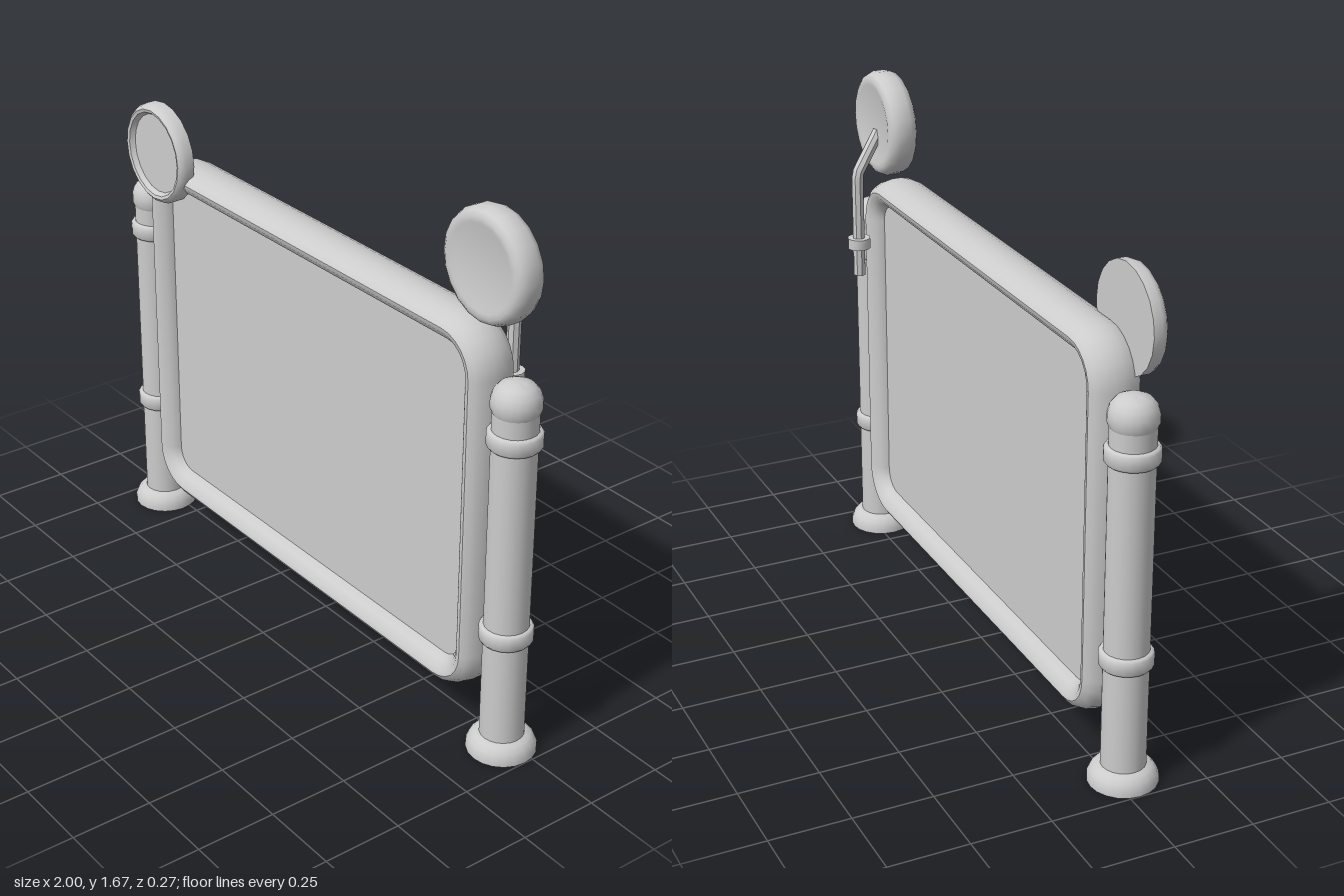
import * as THREE from 'three';
import { toCreasedNormals } from 'three/addons/utils/BufferGeometryUtils.js';

const grey = new THREE.MeshStandardMaterial({ color: 0xcccccc, side: THREE.DoubleSide });
grey.name = 'plain grey';

const MID_Z = 0.03;                       // depth of the posts and board
const HALF_W = 0.822, HALF_H = 0.603, CENTER_Y = 0.733, CORNER = 0.155;

function add(parent, name, geometry, x = 0, y = 0, z = 0) {
  const mesh = new THREE.Mesh(toCreasedNormals(geometry, 0.75), grey);
  mesh.name = name;
  mesh.position.set(x, y, z);
  parent.add(mesh);
  return mesh;
}

const lathe = (profile, sides) =>
  new THREE.LatheGeometry(profile.map(([r, y]) => new THREE.Vector2(r, y)), sides);

// Rounded rectangle outline, pulled inwards by d, counter-clockwise from the front
function outline(d, steps = 6) {
  const pts = [];
  const r = CORNER - d;
  [[1, 1], [-1, 1], [-1, -1], [1, -1]].forEach(([sx, sy], corner) => {
    for (let i = 0; i <= steps; i++) {
      const a = (corner + i / steps) * Math.PI / 2;
      pts.push(new THREE.Vector2(
        sx * (HALF_W - CORNER) + r * Math.cos(a),
        sy * (HALF_H - CORNER) + r * Math.sin(a)));
    }
  });
  return pts;
}

// Sweep the frame section (inset, depth) around the outline
function frameGeometry() {
  const section = [
    [0.09, 0.036], [0.075, 0.058], [0.052, 0.077], [0.037, 0.08], [0.019, 0.068], [0.006, 0.042], [0, 0.014],
    [0, -0.014], [0.006, -0.042], [0.019, -0.068], [0.037, -0.08], [0.052, -0.077], [0.075, -0.058], [0.09, -0.036],
  ];
  const loops = section.map(([d]) => outline(d));
  const n = loops[0].length, m = section.length;
  const positions = [], index = [];
  for (let i = 0; i < n; i++) {
    for (let j = 0; j < m; j++) {
      positions.push(loops[j][i].x, loops[j][i].y, section[j][1]);
      const i2 = (i + 1) % n, j2 = (j + 1) % m;
      const a = i * m + j, b = i * m + j2, c = i2 * m + j, e = i2 * m + j2;
      index.push(a, b, c, b, e, c);
    }
  }
  const g = new THREE.BufferGeometry();
  g.setAttribute('position', new THREE.Float32BufferAttribute(positions, 3));
  g.setIndex(index);
  return g;
}

// Hollow post with flared foot, two bands and a domed cap
function createPost(name, x) {
  const post = new THREE.Group();
  post.name = name;
  post.position.set(x, 0, MID_Z);
  add(post, 'postShaft', lathe([[0.067, 0.055], [0.067, 1.13]], 20));
  add(post, 'postFoot', lathe([
    [0.105, 0], [0.105, 0.018], [0.097, 0.037], [0.084, 0.052], [0.067, 0.057]], 20));
  add(post, 'postCap', lathe([
    [0.067, 1.115], [0.073, 1.13], [0.073, 1.155], [0.066, 1.178],
    [0.05, 1.197], [0.027, 1.207], [0, 1.21]], 20));
  for (const y of [0.405, 1.035]) {
    add(post, 'postBand', lathe([
      [0.066, -0.027], [0.075, -0.025], [0.08, -0.018], [0.08, 0.018], [0.075, 0.025], [0.066, 0.027]], 20), 0, y);
  }
  return post;
}

export function createModel() {
  const model = new THREE.Group();
  model.name = 'signBoard';

  model.add(createPost('leftPost', 0.895), createPost('rightPost', -0.895));

  // Board: swept frame around a flat panel
  add(model, 'frame', frameGeometry(), 0, CENTER_Y, MID_Z);
  const panel = new THREE.ExtrudeGeometry(new THREE.Shape(outline(0.086)), { depth: 0.07, bevelEnabled: false });
  add(model, 'panel', panel, 0, CENTER_Y, MID_Z - 0.035);

  // Flat-backed dial with a raised rim, on the front right corner
  const dial = lathe([
    [0, 0.08], [0.163, 0.08], [0.163, 0.108], [0.157, 0.123], [0.147, 0.131],
    [0.137, 0.128], [0.128, 0.112], [0, 0.112]], 20).rotateX(Math.PI / 2);
  add(model, 'dial', dial, -0.74, 1.36, 0);

  // Round lamp with a soft rim and slightly dished faces
  const half = [[0.11, 0.041], [0.128, 0.046], [0.145, 0.047], [0.16, 0.038], [0.169, 0.018]];
  const lamp = lathe([
    [0, -0.041], ...half.map(([r, y]) => [r, -y]), ...half.slice().reverse(), [0, 0.041]], 20).rotateX(Math.PI / 2);
  add(model, 'lampDisc', lamp, 0.767, 1.502, 0.02);

  // Bent rod behind the board carrying the lamp
  const knee = new THREE.Vector3(0.735, 1.355, -0.095);
  const path = new THREE.CurvePath();
  path.add(new THREE.LineCurve3(new THREE.Vector3(0.735, 1.01, -0.095), knee));
  path.add(new THREE.LineCurve3(knee, new THREE.Vector3(0.757, 1.48, -0.01)));
  add(model, 'lampRod', new THREE.TubeGeometry(path, 24, 0.02, 8));
  add(model, 'rodEnd', new THREE.CylinderGeometry(0.02, 0.02, 0.01, 8), 0.735, 1.015, -0.095);
  add(model, 'rodCollar', new THREE.CylinderGeometry(0.037, 0.037, 0.035, 12), 0.735, 1.12, -0.095);

  return model;
}
